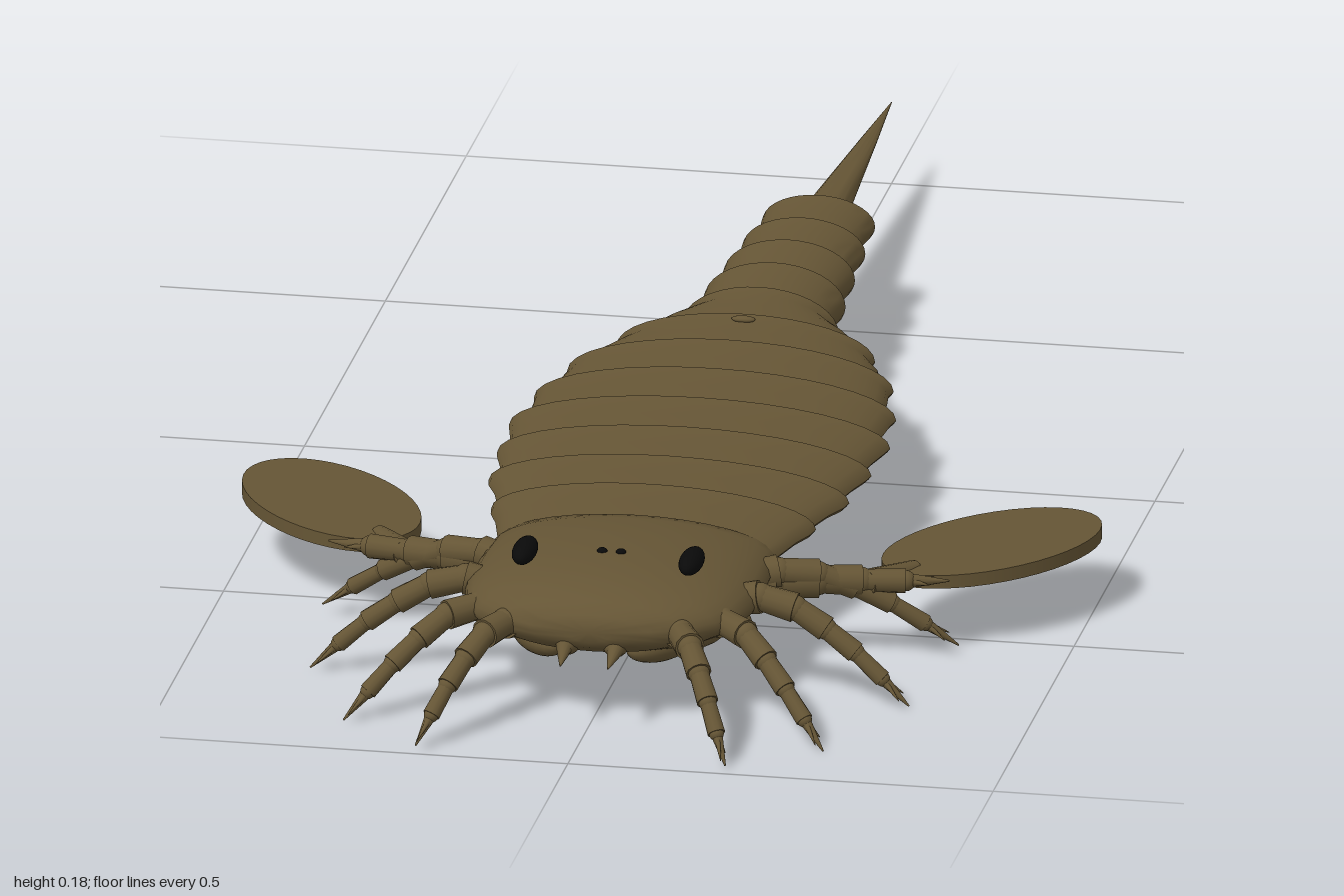
import * as THREE from 'three';
import { toCreasedNormals } from 'three/addons/utils/BufferGeometryUtils.js';

const shell = new THREE.MeshStandardMaterial({ color: 0x65553a });
shell.name = 'brown shell';
shell.color.set(0x655535);
const black = new THREE.MeshStandardMaterial({ color: 0x0a0a0a });
black.name = 'black eye';

function add(parent, name, geometry, material = shell) {
  const mesh = new THREE.Mesh(geometry, material);
  mesh.name = name;
  parent.add(mesh);
  return mesh;
}

// Closed skin over rings [z, halfWidth, top, rim, bottom], listed front to back
function loft(rings, n = 36) {
  const pos = [], index = [];
  for (const [z, w, top, rim, bottom] of rings) {
    for (let i = 0; i < n; i++) {
      const a = (i / n) * Math.PI * 2, s = Math.sin(a);
      pos.push(w * Math.cos(a), rim + (s > 0 ? (top - rim) * s : (rim - bottom) * s), z);
    }
  }
  for (let r = 0; r < rings.length - 1; r++) {
    for (let i = 0; i < n; i++) {
      const j = (i + 1) % n, a = r * n + i, b = r * n + j;
      index.push(a, a + n, b, b, a + n, b + n);
    }
  }
  // End caps
  const last = (rings.length - 1) * n, c = rings.length * n;
  for (const [z, , , rim] of [rings[0], rings[rings.length - 1]]) pos.push(0, rim, z);
  for (let i = 0; i < n; i++) {
    const j = (i + 1) % n;
    index.push(c, i, j, c + 1, last + j, last + i);
  }
  const g = new THREE.BufferGeometry();
  g.setAttribute('position', new THREE.Float32BufferAttribute(pos, 3));
  g.setIndex(index);
  return toCreasedNormals(g, 0.7);
}

function ellipsoid(parent, name, p, r, material = shell) {
  const m = add(parent, name, new THREE.SphereGeometry(1, 20, 14), material);
  m.position.set(...p);
  m.scale.set(...r);
  return m;
}

// Tapered round piece from a to b
function limb(parent, name, a, b, ra, rb) {
  const d = b.clone().sub(a);
  const m = add(parent, name, new THREE.CylinderGeometry(rb, ra, d.length(), 12));
  m.position.copy(a).addScaledVector(d, 0.5);
  m.quaternion.setFromUnitVectors(new THREE.Vector3(0, 1, 0), d.normalize());
  return m;
}

// Jointed leg along a curve: flared pieces, a pointed end and two side spines
function leg(parent, name, points, radius, pieces, side) {
  const g = new THREE.Group();
  g.name = name;
  parent.add(g);
  const curve = new THREE.CatmullRomCurve3(points.map(([x, y, z]) => new THREE.Vector3(x * side, y, z)));
  for (let i = 0; i < pieces; i++) {
    const t0 = i / pieces, t1 = (i + 1) / pieces;
    const a = curve.getPointAt(t0), b = curve.getPointAt(t1);
    const r = radius * (1 - 0.72 * t0), end = i === pieces - 1;
    limb(g, 'legPiece', a, b, r * 0.85, end ? 0.001 : r * 0.95);
    if (!end) ellipsoid(g, 'legJoint', b.toArray(), [r * 0.8, r * 0.8, r * 0.8]);
    if (i === pieces - 2) {
      const dir = b.clone().sub(a).normalize();
      for (const s of [-1, 1]) {
        const tip = b.clone().addScaledVector(dir, 0.03);
        tip.z += s * 0.014;
        limb(g, 'legSpine', b, tip, r * 0.4, 0.0005);
      }
    }
  }
  return g;
}

export function createModel() {
  const model = new THREE.Group();
  model.name = 'seaScorpion';

  // Head shield
  add(model, 'headShield', loft([
    [0.872, 0.025, 0.130, 0.120, 0.108],
    [0.866, 0.070, 0.140, 0.120, 0.100],
    [0.850, 0.112, 0.152, 0.119, 0.090],
    [0.825, 0.142, 0.161, 0.118, 0.083],
    [0.790, 0.161, 0.167, 0.117, 0.078],
    [0.740, 0.170, 0.170, 0.116, 0.075],
    [0.660, 0.170, 0.168, 0.116, 0.075],
    [0.590, 0.167, 0.161, 0.116, 0.080],
    [0.565, 0.160, 0.156, 0.116, 0.086],
    [0.556, 0.130, 0.148, 0.116, 0.092],
  ]));

  // Body plates: [front z, back z, front half width, back half width, front top, back top, bottom]
  const plates = [
    [0.575, 0.47, 0.163, 0.191, 0.150, 0.160, 0.093],
    [0.48, 0.375, 0.180, 0.212, 0.152, 0.161, 0.092],
    [0.385, 0.28, 0.196, 0.220, 0.153, 0.163, 0.092],
    [0.29, 0.185, 0.204, 0.224, 0.155, 0.165, 0.091],
    [0.195, 0.09, 0.203, 0.213, 0.156, 0.167, 0.090],
    [0.10, -0.005, 0.194, 0.192, 0.156, 0.168, 0.090],
    [0.005, -0.10, 0.180, 0.152, 0.156, 0.166, 0.090],
    [-0.08, -0.19, 0.148, 0.092, 0.158, 0.167, 0.066],
    [-0.18, -0.28, 0.074, 0.083, 0.152, 0.165, 0.071],
    [-0.27, -0.37, 0.068, 0.077, 0.148, 0.161, 0.075],
    [-0.36, -0.46, 0.063, 0.072, 0.145, 0.156, 0.079],
    [-0.45, -0.552, 0.058, 0.066, 0.141, 0.151, 0.083],
  ];
  plates.forEach(([z0, z1, w0, w1, t0, t1, b], i) => {
    const rim = i < 7 ? 0.117 : 0.116, f = i < 7 ? 0.004 : 0.007;
    const mid = z0 + (z1 - z0) * 0.55;
    add(model, 'bodyPlate', loft([
      [z0, w0, t0, rim, b + f],
      [mid, (w0 + w1) / 2 - (i < 7 ? 0 : 0.001), (t0 + t1) / 2 + 0.001, rim, b + f * 0.6],
      [z1 + 0.018, w1 * 0.985, t1 - 0.003, rim, b + f * 0.4],
      [z1, w1, t1, rim, b],
    ]));
  });

  // Tail spike
  add(model, 'tailSpike', loft([
    [-0.53, 0.031, 0.134, 0.116, 0.100],
    [-0.70, 0.020, 0.125, 0.112, 0.100],
    [-0.86, 0.010, 0.115, 0.108, 0.102],
    [-1.00, 0.0005, 0.1055, 0.105, 0.1045],
  ], 16));
  ellipsoid(model, 'backKnob', [0, 0.165, -0.085], [0.014, 0.004, 0.006]);

  // Mouth plate under the head
  ellipsoid(model, 'mouthPlate', [0, 0.085, 0.65], [0.075, 0.030, 0.085]);

  const V = (x, y, z) => new THREE.Vector3(x, y, z);
  for (const side of [1, -1]) {
    // Eyes
    ellipsoid(model, 'eye', [side * 0.098, 0.172, 0.75], [0.014, 0.013, 0.036], black);
    ellipsoid(model, 'smallEye', [side * 0.011, 0.170, 0.73], [0.006, 0.004, 0.006], black);

    // Front pincers
    ellipsoid(model, 'pincerBase', [side * 0.028, 0.100, 0.845], [0.015, 0.015, 0.028]);
    limb(model, 'pincerTip', V(side * 0.03, 0.1, 0.86), V(side * 0.028, 0.088, 0.90), 0.011, 0.001);

    // Walking legs
    const paths = [
      [[0.085, 0.110, 0.81], [0.115, 0.118, 0.87], [0.150, 0.075, 0.935], [0.182, 0.010, 0.985]],
      [[0.110, 0.110, 0.77], [0.165, 0.118, 0.815], [0.225, 0.072, 0.865], [0.282, 0.006, 0.905]],
      [[0.130, 0.115, 0.72], [0.190, 0.122, 0.722], [0.275, 0.075, 0.730], [0.352, 0.008, 0.742]],
      [[0.130, 0.110, 0.63], [0.200, 0.115, 0.605], [0.290, 0.075, 0.572], [0.374, 0.016, 0.550]],
    ];
    paths.forEach((p, i) => {
      leg(model, 'walkingLeg', p, 0.021, 6, side);
      const [x, , z] = p[0];
      const hip = ellipsoid(model, 'hip', [side * x * 0.85, 0.087, z - 0.01], [0.050, 0.020, 0.024]);
      hip.rotation.y = side * [0.9, 0.6, 0.1, -0.3][i];
    });

    // Swimming leg with its flat paddle
    leg(model, 'swimmingLeg',
      [[0.12, 0.100, 0.625], [0.20, 0.103, 0.60], [0.28, 0.098, 0.575], [0.365, 0.098, 0.560]], 0.027, 5, side);
    limb(model, 'paddleStalk', V(side * 0.27, 0.096, 0.58), V(side * 0.315, 0.09, 0.51), 0.016, 0.012);
    const paddle = add(model, 'paddle', new THREE.CylinderGeometry(1, 1, 0.016, 40));
    paddle.position.set(side * 0.388, 0.09, 0.42);
    paddle.scale.set(0.085, 1, 0.15);
    paddle.rotation.y = -side * 0.69;
  }
  return model;
}
